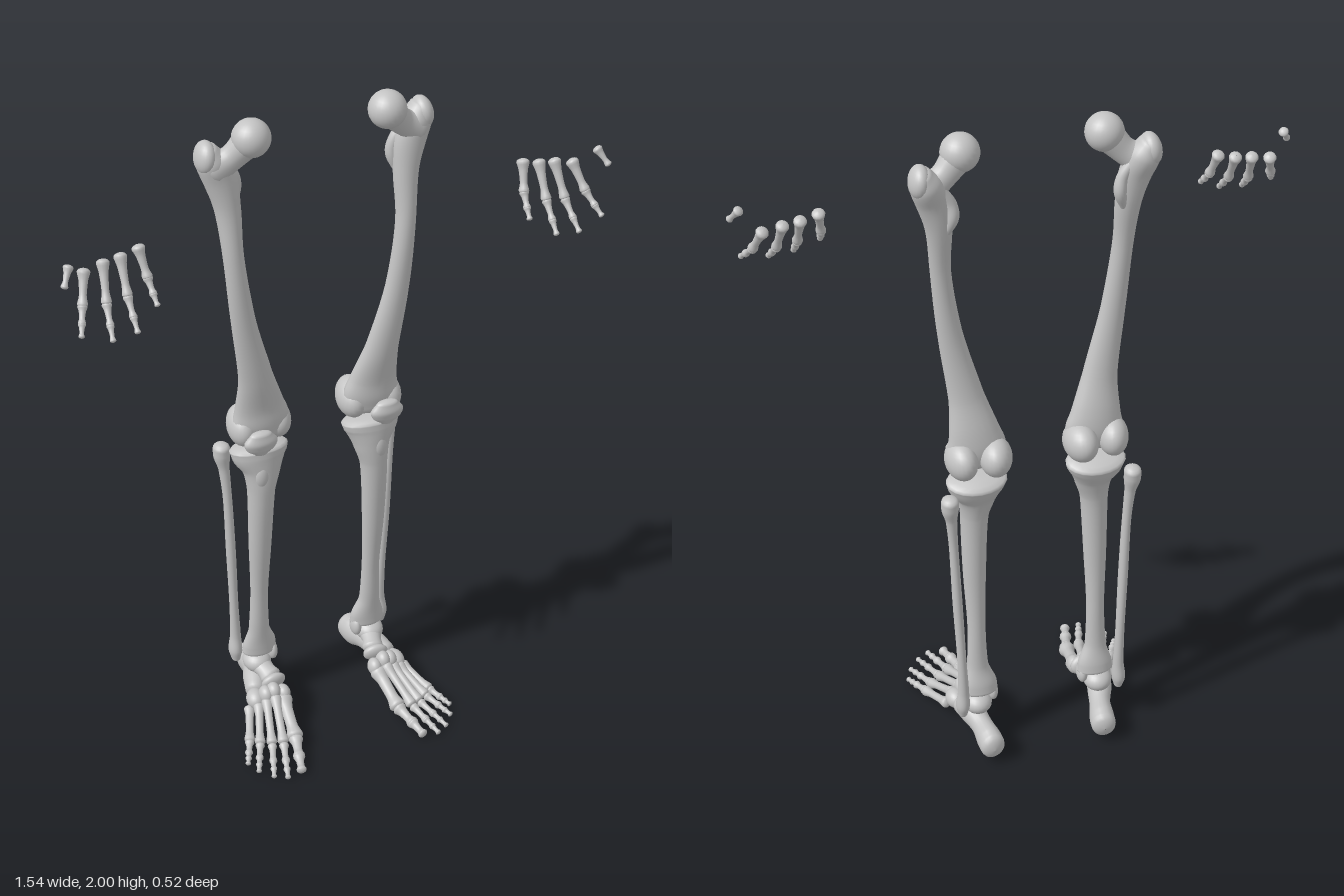
import * as THREE from 'three';

const V = (p) => new THREE.Vector3(p[0], p[1], p[2]);

// Smooth closed tube through rows of [x, y, z, radiusA, radiusB] with rounded ends.
function loft(rows, { steps = 6, sides = 20, cap = 0.6 } = {}) {
  const path = new THREE.CatmullRomCurve3(rows.map(V));
  const radii = new THREE.CatmullRomCurve3(rows.map((r) => new THREE.Vector3(r[3], r[4], 0)));
  const span = V(rows[rows.length - 1]).sub(V(rows[0]));
  const sideways = Math.abs(span.x) > Math.max(Math.abs(span.y), Math.abs(span.z));
  const ref = sideways ? new THREE.Vector3(0, 0, 1) : new THREE.Vector3(1, 0, 0);
  const n = (rows.length - 1) * steps;
  const rings = [];
  const ring = (t, angle, sign) => {
    const T = path.getTangent(t), r = radii.getPoint(t);
    const s = ref.clone().addScaledVector(T, -ref.dot(T)).normalize();
    const k = Math.max(Math.cos(angle), 0.01);
    const c = path.getPoint(t).addScaledVector(T, sign * Math.sin(angle) * Math.min(r.x, r.y) * cap);
    rings.push({ c, s, u: T.clone().cross(s), a: r.x * k, b: r.y * k });
  };
  for (let i = 4; i > 0; i--) ring(0, (i * Math.PI) / 8, -1);
  for (let i = 0; i <= n; i++) ring(i / n, 0, 1);
  for (let i = 1; i <= 4; i++) ring(1, (i * Math.PI) / 8, 1);
  const pos = [], index = [];
  rings.forEach(({ c, s, u, a, b }, i) => {
    for (let j = 0; j < sides; j++) {
      const th = (j / sides) * Math.PI * 2;
      const p = c.clone().addScaledVector(s, a * Math.cos(th)).addScaledVector(u, b * Math.sin(th));
      pos.push(p.x, p.y, p.z);
      if (i === rings.length - 1) continue;
      const A = i * sides + j, B = i * sides + ((j + 1) % sides);
      index.push(A, B, B + sides, A, B + sides, A + sides);
    }
  });
  const g = new THREE.BufferGeometry();
  g.setAttribute('position', new THREE.Float32BufferAttribute(pos, 3));
  g.setIndex(index);
  g.computeVertexNormals();
  return g;
}

// Ellipsoid, optionally tilted about each axis.
function blob(c, r, rot = [0, 0, 0]) {
  const g = new THREE.SphereGeometry(1, 24, 16).scale(...r);
  return g.rotateX(rot[0]).rotateY(rot[1]).rotateZ(rot[2]).translate(...c);
}

// Small long bone: knobbly ends and a narrow waist.
function smallBone(p, q, r, r2) {
  const a = V(p), b = V(q);
  const row = (t, k) => [...a.clone().lerp(b, t).toArray(), k, k];
  return loft([row(0.05, r), row(0.28, r * 0.7), row(0.68, r2 * 0.7), row(0.94, r2)],
    { steps: 4, sides: 12 });
}

// All parts for the +x side as [group, name, geometry].
function sideParts() {
  const parts = [];
  const leg = (name, g) => parts.push(['Leg', name, g]);
  const foot = (name, g) => parts.push(['Foot', name, g]);
  const hand = (name, g) => parts.push(['Hand', name, g]);

  // Thigh bone
  leg('femurShaft', loft([
    [0.167, 1.0, -0.092, 0.07, 0.038], [0.167, 1.04, -0.093, 0.083, 0.043],
    [0.172, 1.09, -0.09, 0.071, 0.04], [0.188, 1.2, -0.07, 0.049, 0.034],
    [0.225, 1.4, -0.056, 0.034, 0.028], [0.247, 1.6, -0.058, 0.028, 0.029],
    [0.254, 1.75, -0.077, 0.036, 0.033], [0.268, 1.83, -0.085, 0.045, 0.036],
    [0.286, 1.88, -0.092, 0.044, 0.043], [0.3, 1.915, -0.095, 0.03, 0.036]]));
  leg('greaterTrochanter', blob([0.305, 1.9, -0.093], [0.028, 0.045, 0.043], [0, 0, 0.15]));
  leg('femurNeck', loft([[0.285, 1.865, -0.085, 0.038, 0.046],
    [0.24, 1.893, -0.075, 0.032, 0.036], [0.2, 1.935, -0.064, 0.04, 0.042]]));
  leg('femurHead', blob([0.19, 1.948, -0.06], [0.052, 0.052, 0.052]));
  leg('lesserTrochanter', loft([[0.237, 1.735, -0.092, 0.01, 0.01],
    [0.222, 1.79, -0.102, 0.017, 0.019], [0.228, 1.83, -0.1, 0.016, 0.016],
    [0.25, 1.87, -0.1, 0.012, 0.014]]));
  leg('medialCondyle', blob([0.12, 1.018, -0.12], [0.046, 0.056, 0.067], [0.2, -0.15, 0]));
  leg('lateralCondyle', blob([0.215, 1.018, -0.113], [0.043, 0.056, 0.065], [0.2, 0.15, 0]));
  leg('kneecap', loft([[0.19, 0.968, -0.033, 0.02, 0.011], [0.19, 0.985, -0.033, 0.042, 0.018],
    [0.19, 1.005, -0.033, 0.049, 0.022], [0.19, 1.03, -0.032, 0.032, 0.016]]));

  // Shin bones
  leg('tibia', loft([
    [0.17, 0.937, -0.105, 0.086, 0.057], [0.17, 0.915, -0.1, 0.08, 0.054],
    [0.168, 0.87, -0.09, 0.056, 0.045], [0.173, 0.8, -0.083, 0.04, 0.038],
    [0.177, 0.6, -0.09, 0.033, 0.031], [0.177, 0.4, -0.105, 0.026, 0.025],
    [0.177, 0.27, -0.112, 0.031, 0.025], [0.174, 0.21, -0.12, 0.05, 0.03],
    [0.174, 0.18, -0.122, 0.053, 0.032]], { cap: 0.3 }));
  leg('tibialTuberosity', blob([0.178, 0.865, -0.062], [0.024, 0.045, 0.02]));
  leg('medialMalleolus', blob([0.136, 0.168, -0.118], [0.016, 0.032, 0.027]));
  leg('fibula', loft([
    [0.26, 0.92, -0.16, 0.024, 0.026], [0.26, 0.895, -0.159, 0.024, 0.025],
    [0.256, 0.85, -0.155, 0.016, 0.017],
    [0.25, 0.75, -0.15, 0.013, 0.015], [0.243, 0.55, -0.153, 0.014, 0.017],
    [0.236, 0.35, -0.16, 0.013, 0.015], [0.233, 0.22, -0.162, 0.016, 0.017],
    [0.235, 0.17, -0.16, 0.02, 0.024], [0.235, 0.135, -0.158, 0.013, 0.016]]));

  // Ankle and mid foot
  foot('heelBone', loft([
    [0.168, 0.062, -0.24, 0.036, 0.042], [0.171, 0.064, -0.21, 0.036, 0.046],
    [0.18, 0.076, -0.16, 0.031, 0.036], [0.194, 0.085, -0.11, 0.036, 0.037],
    [0.212, 0.08, -0.062, 0.03, 0.032]]));
  foot('talusDome', blob([0.182, 0.14, -0.122], [0.042, 0.034, 0.048]));
  foot('talusNeck', loft([[0.18, 0.135, -0.11, 0.036, 0.028],
    [0.172, 0.13, -0.075, 0.028, 0.024], [0.166, 0.122, -0.055, 0.032, 0.028]]));
  foot('navicular', blob([0.165, 0.118, -0.034], [0.038, 0.032, 0.018], [0.3, -0.1, 0]));
  foot('cuboid', blob([0.225, 0.076, -0.028], [0.028, 0.029, 0.036], [0, 0.2, 0]));
  [[0.148, 0.094, 0.0], [0.177, 0.108, -0.005], [0.2, 0.1, -0.008]].forEach((center, i) =>
    foot('cuneiform' + (i + 1), blob(center, [0.021, 0.028, 0.027], [0.3, 0, 0])));

  // Toe rays: base, metatarsal head, tip, radius
  const rays = [
    [[0.153, 0.085, 0.012], [0.165, 0.036, 0.135], [0.194, 0.016, 0.25], 0.026],
    [[0.178, 0.1, 0.012], [0.207, 0.036, 0.145], [0.24, 0.012, 0.258], 0.018],
    [[0.203, 0.09, 0.005], [0.237, 0.03, 0.13], [0.275, 0.011, 0.238], 0.017],
    [[0.226, 0.074, 0.0], [0.267, 0.026, 0.11], [0.307, 0.011, 0.2], 0.017],
    [[0.248, 0.054, -0.02], [0.29, 0.023, 0.085], [0.324, 0.011, 0.158], 0.017]];
  rays.forEach(([base, head, tip, r], i) => {
    foot('metatarsal' + (i + 1), smallBone(base, head, r, r * 0.95));
    const cuts = i === 0 ? [0.04, 0.58, 1] : [0.04, 0.52, 0.76, 1];
    const at = (t) => V(head).lerp(V(tip), t).toArray();
    for (let k = 0; k + 1 < cuts.length; k++) {
      const rk = r * [0.82, 0.68, 0.58][k];
      foot(`toe${i + 1}Segment${k + 1}`, smallBone(at(cuts[k]), at(cuts[k + 1]), rk, rk * 0.85));
    }
  });

  // Floating finger bones: start, knuckle, tip, curving forward
  const fingers = [
    [[0.54, 1.767, 0.04], [0.53, 1.695, 0.072], [0.524, 1.637, 0.125]],
    [[0.588, 1.755, 0.038], [0.59, 1.67, 0.083], [0.59, 1.592, 0.158]],
    [[0.634, 1.748, 0.038], [0.645, 1.66, 0.083], [0.657, 1.585, 0.16]],
    [[0.686, 1.735, 0.042], [0.707, 1.665, 0.083], [0.733, 1.607, 0.142]]];
  const joints = [0, 0.53, 0.8, 1];
  fingers.forEach((pts, i) => {
    const curve = new THREE.CatmullRomCurve3(pts.map(V));
    const at = (t) => curve.getPointAt(t).toArray();
    [0.018, 0.0135, 0.0105].forEach((r, k) =>
      hand(`finger${i + 1}Segment${k + 1}`, smallBone(at(joints[k]), at(joints[k + 1]), r, r * 0.8)));
  });
  hand('thumbTip', smallBone([0.737, 1.782, 0.083], [0.76, 1.742, 0.112], 0.014, 0.01));
  return parts;
}

// Mirror across x = 0 and restore the face order.
function mirrored(geometry) {
  const g = geometry.clone().scale(-1, 1, 1);
  const ix = g.index.array;
  for (let i = 0; i < ix.length; i += 3) [ix[i + 1], ix[i + 2]] = [ix[i + 2], ix[i + 1]];
  return g;
}

export function createModel() {
  const bone = new THREE.MeshStandardMaterial({ color: 0xc4c4c4 });
  bone.name = 'boneGrey';
  const model = new THREE.Group();
  model.name = 'legAndFingerBones';
  const parts = sideParts();
  for (const side of ['left', 'right']) {
    const groups = {};
    for (const [groupName, name, g] of parts) {
      if (!groups[groupName]) {
        groups[groupName] = new THREE.Group();
        groups[groupName].name = side + groupName;
        model.add(groups[groupName]);
      }
      const mesh = new THREE.Mesh(side === 'left' ? g : mirrored(g), bone);
      mesh.name = name;
      groups[groupName].add(mesh);
    }
  }
  return model;
}
